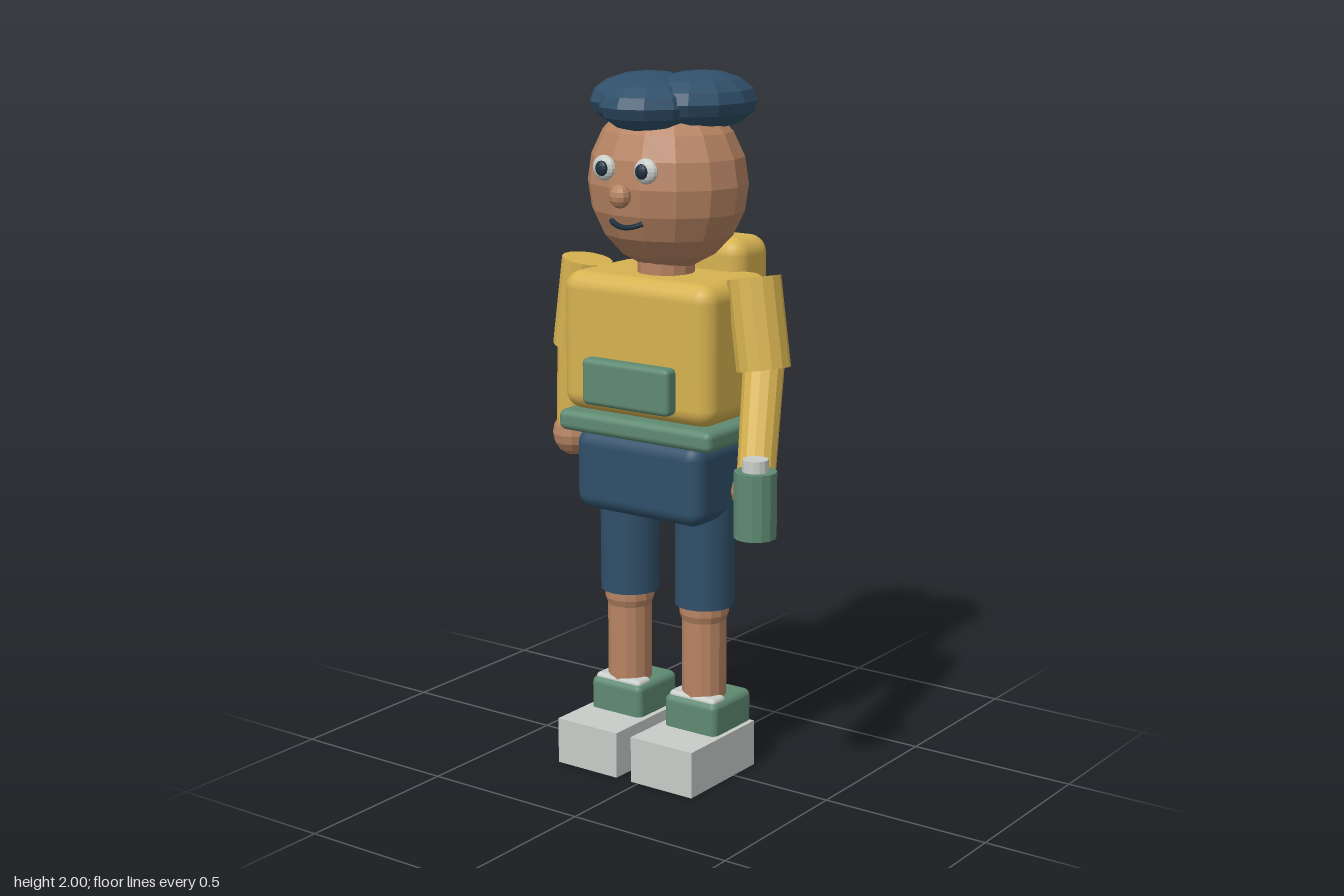
import * as THREE from 'three';
import { RoundedBoxGeometry } from 'three/addons/geometries/RoundedBoxGeometry.js';

const CX = -0.05; // body centre line

function makeMaterial(name, color) {
  const m = new THREE.MeshStandardMaterial({ color });
  m.name = name;
  return m;
}

// Faceted copy of a geometry, so that one material serves smooth and low-poly parts
function faceted(geo) {
  const g = geo.toNonIndexed();
  g.computeVertexNormals();
  return g;
}

export function createModel() {
  const mat = {
    yellow: makeMaterial('yellow cloth', 0xd6b250),
    skin: makeMaterial('skin', 0xb78463),
    navy: makeMaterial('navy', 0x30506a),
    green: makeMaterial('green', 0x5f8a72),
    light: makeMaterial('light grey', 0xc8cdc9),
    dark: makeMaterial('dark navy', 0x1e3040),
  };
  const root = new THREE.Group();
  root.name = 'figure';

  const add = (name, geo, material, x, y, z) => {
    const mesh = new THREE.Mesh(geo, material);
    mesh.name = name;
    mesh.position.set(x, y, z);
    root.add(mesh);
    return mesh;
  };
  const roundBox = (name, material, [w, h, d], [x, y, z], r) =>
    add(name, new RoundedBoxGeometry(w, h, d, 3, r), material, x, y, z);
  const ball = (name, material, [rx, ry, rz], [x, y, z], ws = 12, hs = 8) => {
    const g = new THREE.SphereGeometry(1, ws, hs);
    g.scale(rx, ry, rz);
    return add(name, faceted(g), material, x, y, z);
  };
  // Tapered limb running from point a (radius ra) to point b (radius rb)
  const limb = (name, material, a, ra, b, rb) => {
    const A = new THREE.Vector3(...a), B = new THREE.Vector3(...b);
    const dir = A.clone().sub(B);
    const mid = A.clone().add(B).multiplyScalar(0.5);
    const m = add(name, faceted(new THREE.CylinderGeometry(ra, rb, dir.length(), 14)), material, mid.x, mid.y, mid.z);
    m.quaternion.setFromUnitVectors(new THREE.Vector3(0, 1, 0), dir.normalize());
    return m;
  };

  // Torso and clothes
  roundBox('torso', mat.yellow, [0.51, 0.395, 0.33], [CX, 1.245, -0.004], 0.05);
  roundBox('belt', mat.green, [0.525, 0.06, 0.347], [CX, 1.015, -0.008], 0.02);
  roundBox('frontPocket', mat.green, [0.296, 0.132, 0.05], [CX, 1.146, 0.177], 0.015);
  roundBox('hood', mat.yellow, [0.366, 0.242, 0.17], [CX, 1.412, -0.176], 0.05);
  roundBox('shortsTop', mat.navy, [0.435, 0.235, 0.32], [CX, 0.877, -0.005], 0.045);
  limb('neck', mat.skin, [CX, 1.5, 0], 0.08, [CX, 1.4, 0], 0.08);

  // Head and face
  ball('head', mat.skin, [0.233, 0.243, 0.207], [CX, 1.692, -0.008], 14, 10);
  ball('nose', mat.skin, [0.031, 0.033, 0.028], [CX, 1.675, 0.212], 10, 8);
  for (const s of [-1, 1]) {
    ball('eye', mat.light, [0.037, 0.035, 0.019], [CX + s * 0.07, 1.745, 0.188], 14, 10);
    ball('pupil', mat.dark, [0.02, 0.021, 0.011], [CX + s * 0.067, 1.745, 0.205], 12, 8);
  }
  const smile = new THREE.QuadraticBezierCurve3(
    new THREE.Vector3(-0.053, 0.01, -0.012),
    new THREE.Vector3(0, -0.018, 0.014),
    new THREE.Vector3(0.053, 0.01, -0.012));
  add('mouth', new THREE.TubeGeometry(smile, 10, 0.008, 6), mat.dark, CX, 1.592, 0.192);

  // Hair: two large tufts behind, one in front
  ball('hairRight', mat.navy, [0.147, 0.078, 0.187], [-0.15, 1.912, -0.048]);
  ball('hairLeft', mat.navy, [0.147, 0.083, 0.187], [0.031, 1.917, -0.048]);
  ball('hairFront', mat.navy, [0.145, 0.078, 0.172], [CX, 1.908, 0.052]);

  // Legs and shoes
  for (const s of [-1, 1]) {
    const x = CX + s * 0.132;
    add('shortsLeg', new THREE.CylinderGeometry(0.086, 0.086, 0.34, 16), mat.navy, x, 0.67, -0.003);
    const calf = [[0, 0.52], [0.071, 0.52], [0.071, 0.475], [0.064, 0.455], [0.064, 0.17], [0, 0.17]]
      .map(([r, y]) => new THREE.Vector2(r, y)).reverse();
    add('calf', faceted(new THREE.LatheGeometry(calf, 14)), mat.skin, x, 0, 0);
    roundBox('shoeLaces', mat.light, [0.16, 0.05, 0.062], [x, 0.215, 0.034], 0.012);
    roundBox('shoe', mat.green, [0.18, 0.13, 0.19], [x, 0.165, -0.019], 0.02);
    add('sole', new THREE.BoxGeometry(0.211, 0.135, 0.315), mat.light, CX + s * 0.131, 0.0675, 0.053);
  }

  // Right arm hangs down
  limb('rightSleeve', mat.yellow, [-0.335, 1.45, -0.01], 0.073, [-0.378, 1.193, -0.01], 0.068);
  limb('rightForearm', mat.yellow, [-0.376, 1.22, -0.01], 0.056, [-0.388, 0.94, -0.01], 0.053);
  ball('rightHand', mat.skin, [0.064, 0.066, 0.064], [-0.389, 0.932, -0.01], 12, 8);

  // Left arm reaches forward with a can
  limb('leftSleeve', mat.yellow, [0.24, 1.453, -0.005], 0.075, [0.288, 1.207, 0.015], 0.075);
  limb('leftForearm', mat.yellow, [0.284, 1.225, 0.008], 0.057, [0.36, 0.92, 0.16], 0.052);
  ball('leftHand', mat.skin, [0.062, 0.062, 0.062], [0.362, 0.908, 0.17], 12, 8);
  limb('can', mat.green, [0.39, 0.977, 0.205], 0.058, [0.39, 0.795, 0.205], 0.058);
  limb('canCap', mat.light, [0.39, 1.01, 0.205], 0.035, [0.39, 0.97, 0.205], 0.037);

  return root;
}
